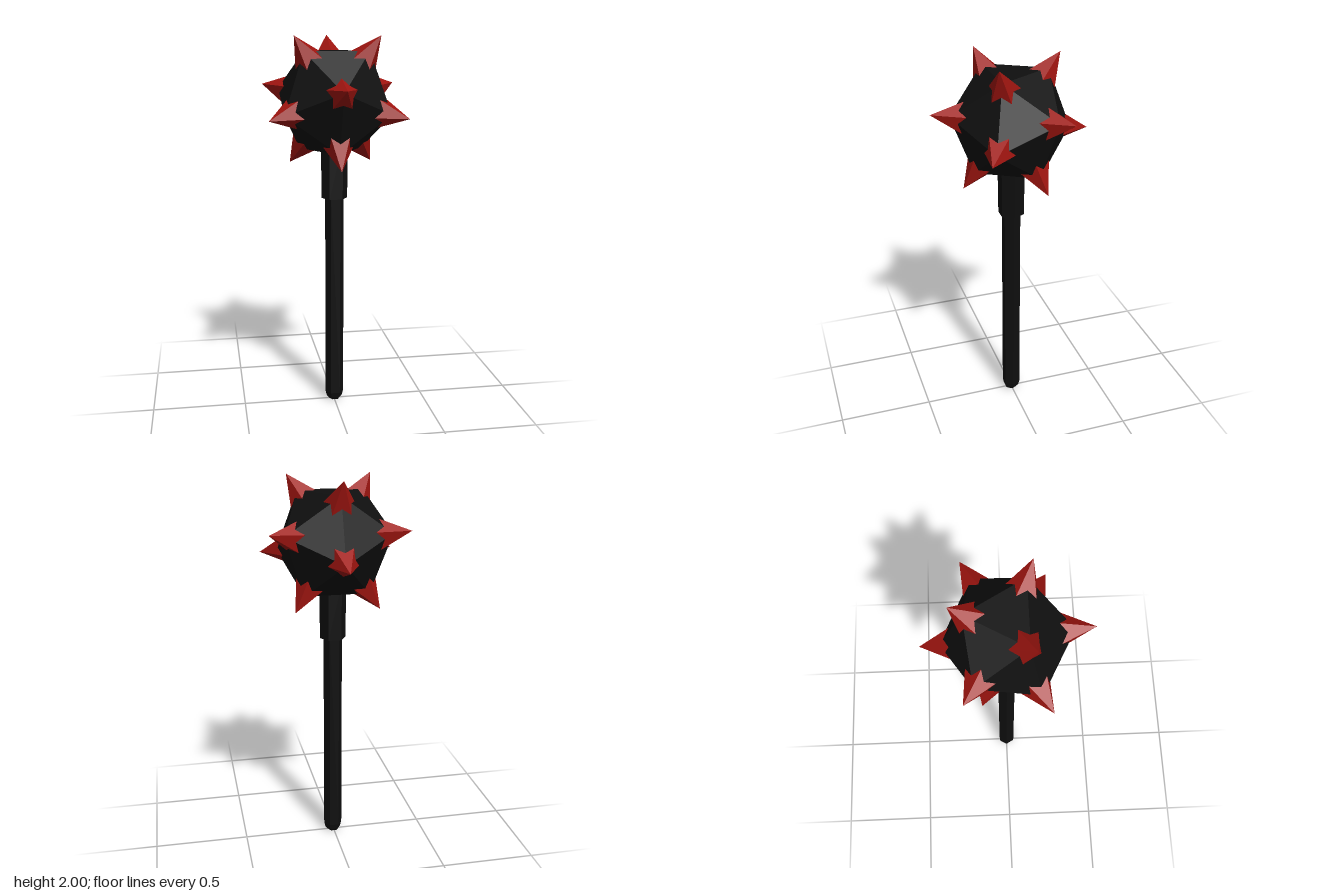
import * as THREE from 'three';
import { ConvexGeometry } from 'three/addons/geometries/ConvexGeometry.js';

const HEAD_Y = 1.667, HEAD_R = 0.322, TIP_R = 0.419, SPIKE_BASE = 0.2;

// The 12 corner directions of an icosahedron resting on a face: four rings of three
function cornerDirections() {
  const rings = [[0.795, 0.607, Math.PI], [0.188, 0.982, 0], [-0.188, 0.982, Math.PI], [-0.795, 0.607, 0]];
  const dirs = [];
  for (const [y, r, start] of rings) {
    for (let i = 0; i < 3; i++) {
      const a = start + (i * Math.PI * 2) / 3;
      dirs.push(new THREE.Vector3(Math.sin(a) * r, y, Math.cos(a) * r).normalize());
    }
  }
  return dirs;
}

export function createModel() {
  const group = new THREE.Group();
  const black = new THREE.MeshStandardMaterial({ color: 0x0f0f0f, flatShading: true });
  const red = new THREE.MeshStandardMaterial({ color: 0xa01510, flatShading: true });

  const add = (name, geometry, material, parent = group) => {
    const mesh = new THREE.Mesh(geometry, material);
    mesh.name = name;
    parent.add(mesh);
    return mesh;
  };

  // Hexagonal handle with a chamfered foot
  const profile = [[0, 0], [0.03, 0], [0.043, 0.015], [0.05, 0.045], [0.05, 1.2], [0, 1.2]]
    .map(([x, y]) => new THREE.Vector2(x, y));
  add('handle', new THREE.LatheGeometry(profile, 6, Math.PI / 6), black).position.x = 0.003;

  // Thicker hexagonal collar running up into the head
  const collar = new THREE.CylinderGeometry(0.072, 0.069, 0.31, 6).rotateY(Math.PI / 6);
  add('collar', collar, black).position.set(0.003, 1.31, 0);

  // Faceted head
  const dirs = cornerDirections();
  const head = new ConvexGeometry(dirs.map((d) => d.clone().multiplyScalar(HEAD_R)));
  add('head', head, black).position.y = HEAD_Y;

  // Five-sided spikes on every corner, ridges running down the middle of the faces
  const spikes = new THREE.Group();
  spikes.name = 'spikes';
  spikes.position.y = HEAD_Y;
  group.add(spikes);
  const height = TIP_R - SPIKE_BASE;
  const spikeGeometry = new THREE.ConeGeometry(height * 0.513, height, 5)
    .translate(0, SPIKE_BASE + height / 2, 0);
  for (const d of dirs) {
    const ridge = new THREE.Vector3(0, Math.sign(d.y), 0).projectOnPlane(d).normalize();
    const side = new THREE.Vector3().crossVectors(d, ridge);
    const spike = add('spike', spikeGeometry, red, spikes);
    spike.quaternion.setFromRotationMatrix(new THREE.Matrix4().makeBasis(side, d, ridge));
  }
  return group;
}
